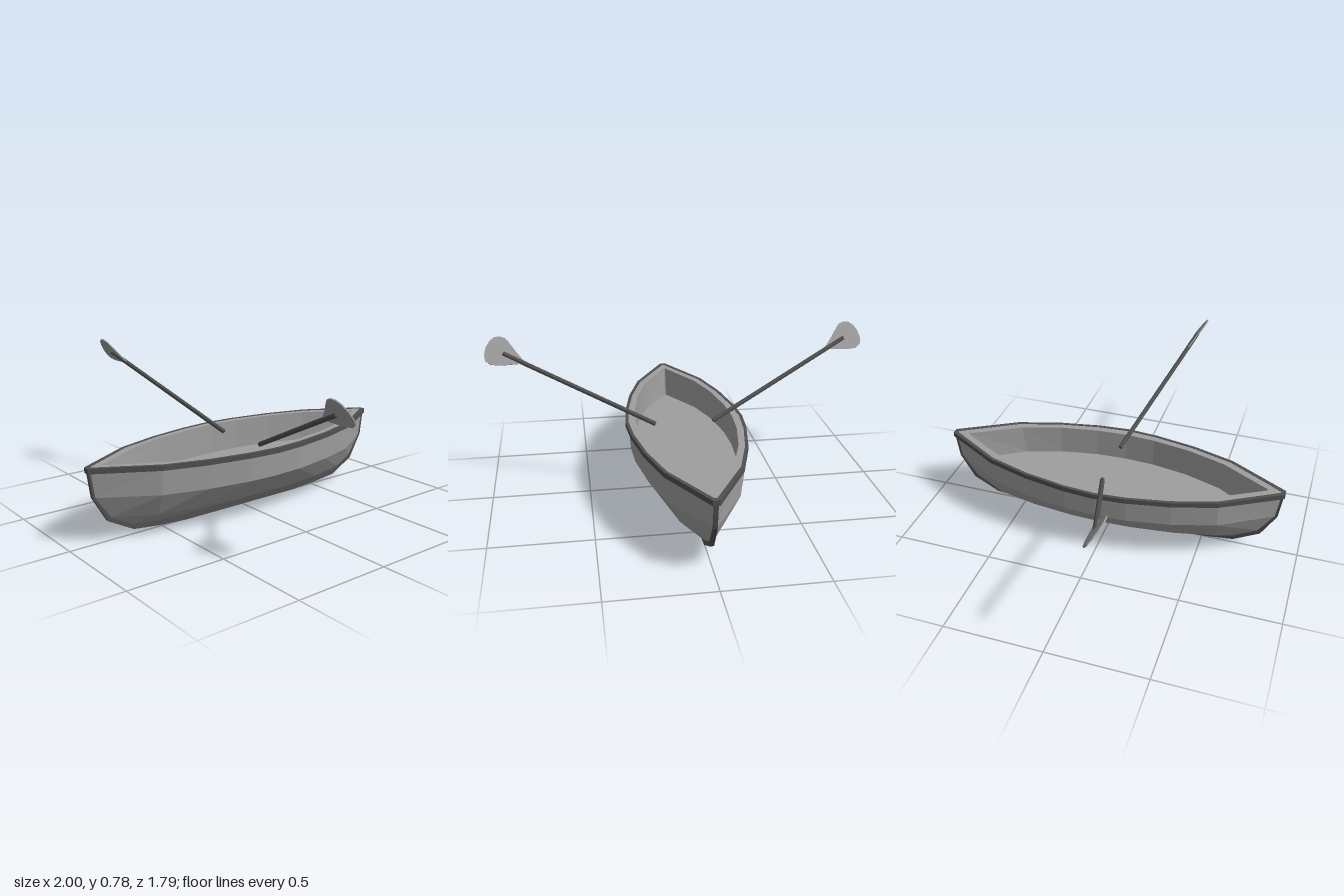
import * as THREE from 'three';

const grey = new THREE.MeshStandardMaterial({ color: 0x9e9e9e, flatShading: true });
const dark = new THREE.MeshStandardMaterial({ color: 0x505050, flatShading: true });

function add(parent, name, geometry, material) {
  const mesh = new THREE.Mesh(geometry, material);
  mesh.name = name;
  parent.add(mesh);
  return mesh;
}

// Closed outline from one quarter: [x, z, y] points from the bow tip to midships
function outline(y, quarter) {
  const bow = quarter.map(([x, z, h = y]) => [x, h, z]);
  const stern = bow.slice(0, -1).reverse().map(([x, h, z]) => [x, h, -z]);
  const side = [...bow, ...stern];
  return [...side, ...side.map(([x, h, z]) => [-x, h, -z])];
}

// Faceted skin between successive outlines, its diagonals mirrored about midships
function loft(rings) {
  const n = rings[0].length;
  const index = [];
  for (let i = 0; i < rings.length - 1; i++) {
    for (let j = 0; j < n; j++) {
      const a = i * n + j, b = i * n + (j + 1) % n;
      const c = b + n, d = a + n;
      if (j % (n / 2) < Math.floor(n / 4)) index.push(a, b, c, a, c, d);
      else index.push(a, b, d, b, c, d);
    }
  }
  const g = new THREE.BufferGeometry();
  g.setAttribute('position', new THREE.Float32BufferAttribute(rings.flat(2), 3));
  g.setIndex(index);
  const flat = g.toNonIndexed();
  flat.computeVertexNormals();
  return flat;
}

// Oar on the left side (+x); the blade lies in the plane of the x axis and the tilted shaft
function makeOar(name) {
  const oar = new THREE.Group();
  oar.name = name;
  const start = new THREE.Vector3(0.15, 0.36, 0);
  const end = new THREE.Vector3(0.905, 0.705, 0.225);
  const dir = end.clone().sub(start);
  const shaft = add(oar, 'oarShaft', new THREE.CylinderGeometry(0.012, 0.012, dir.length(), 8), dark);
  shaft.position.copy(start).add(end).multiplyScalar(0.5);
  shaft.quaternion.setFromUnitVectors(new THREE.Vector3(0, 1, 0), dir.clone().normalize());

  const tilt = Math.atan2(dir.z, dir.y);
  const edge = [
    [0.785, 0.655], [0.81, 0.656], [0.86, 0.654], [0.92, 0.652], [0.97, 0.658], [0.995, 0.675],
    [1.0, 0.7], [0.99, 0.735], [0.97, 0.763], [0.945, 0.779], [0.915, 0.781], [0.89, 0.772],
    [0.87, 0.75], [0.84, 0.712], [0.81, 0.678],
  ].map(([x, y]) => new THREE.Vector2(x, (y - start.y) / Math.cos(tilt)));
  const bladeGeometry = new THREE.ExtrudeGeometry(new THREE.Shape(edge), { depth: 0.006, bevelEnabled: false });
  bladeGeometry.translate(0, 0, -0.003);
  const blade = add(oar, 'oarBlade', bladeGeometry, grey);
  blade.position.y = start.y;
  blade.rotation.x = tilt;
  return oar;
}

export function createModel() {
  const boat = new THREE.Group();
  boat.name = 'rowingBoat';

  // Outer hull planking, from the keel up to the rail
  add(boat, 'hull', loft([
    outline(0.03, [[0.006, 0.67, 0.05], [0.006, 0.56, 0.038], [0.006, 0.37], [0.006, 0.16], [0.006, 0]]),
    outline(0.115, [[0.006, 0.79], [0.112, 0.59], [0.157, 0.38], [0.182, 0.16], [0.187, 0]]),
    outline(0.23, [[0.006, 0.868], [0.17, 0.6], [0.235, 0.38], [0.273, 0.16], [0.28, 0]]),
    outline(0.36, [[0.006, 0.887], [0.175, 0.6], [0.242, 0.38], [0.28, 0.16], [0.288, 0]]),
  ]), grey);

  // Gunwale top, inner walls and the flat floor
  const rim = [[0.006, 0.874], [0.17, 0.592], [0.237, 0.375], [0.277, 0.16], [0.289, 0]];
  const inner = [[0.004, 0.81], [0.145, 0.56], [0.208, 0.36], [0.242, 0.16], [0.252, 0]];
  const floorEdge = [[0.004, 0.775], [0.145, 0.543], [0.208, 0.355], [0.242, 0.16], [0.25, 0]];
  add(boat, 'gunwale', loft([outline(0.377, rim), outline(0.377, inner)]), grey);
  add(boat, 'innerWall', loft([outline(0.377, inner), outline(0.22, floorEdge)]), grey);
  add(boat, 'floor', loft([outline(0.22, floorEdge), outline(0.22, floorEdge.map(() => [0, 0]))]), grey);

  // Dark rubbing rail around the rim
  const outer = [[0.016, 0.897], [0.185, 0.6], [0.252, 0.38], [0.292, 0.16], [0.305, 0]];
  add(boat, 'rail', loft([
    outline(0.353, rim), outline(0.353, outer), outline(0.379, outer),
    outline(0.379, rim), outline(0.353, rim),
  ]), dark);

  // Keel and stems: one thin strip following the hull profile
  const outside = [[0.893, 0.365], [0.875, 0.23], [0.8, 0.1], [0.665, 0.027], [0.52, 0.01], [0.35, 0]];
  const inside = [[0.84, 0.365], [0.835, 0.24], [0.76, 0.125], [0.64, 0.065], [0.5, 0.05], [0.35, 0.04]];
  const mirror = (list) => [...list, ...list.map(([z, y]) => [-z, y]).reverse()];
  const profile = [...mirror(outside), ...mirror(inside).reverse()].map(([z, y]) => new THREE.Vector2(z, y));
  const keel = new THREE.ExtrudeGeometry(new THREE.Shape(profile), { depth: 0.02, bevelEnabled: false });
  keel.translate(0, 0, -0.01);
  keel.rotateY(-Math.PI / 2);
  add(boat, 'keel', keel, dark);

  // Oars: the right one is the left one mirrored
  const rightOar = makeOar('rightOar');
  rightOar.scale.x = -1;
  boat.add(makeOar('leftOar'), rightOar);
  return boat;
}
